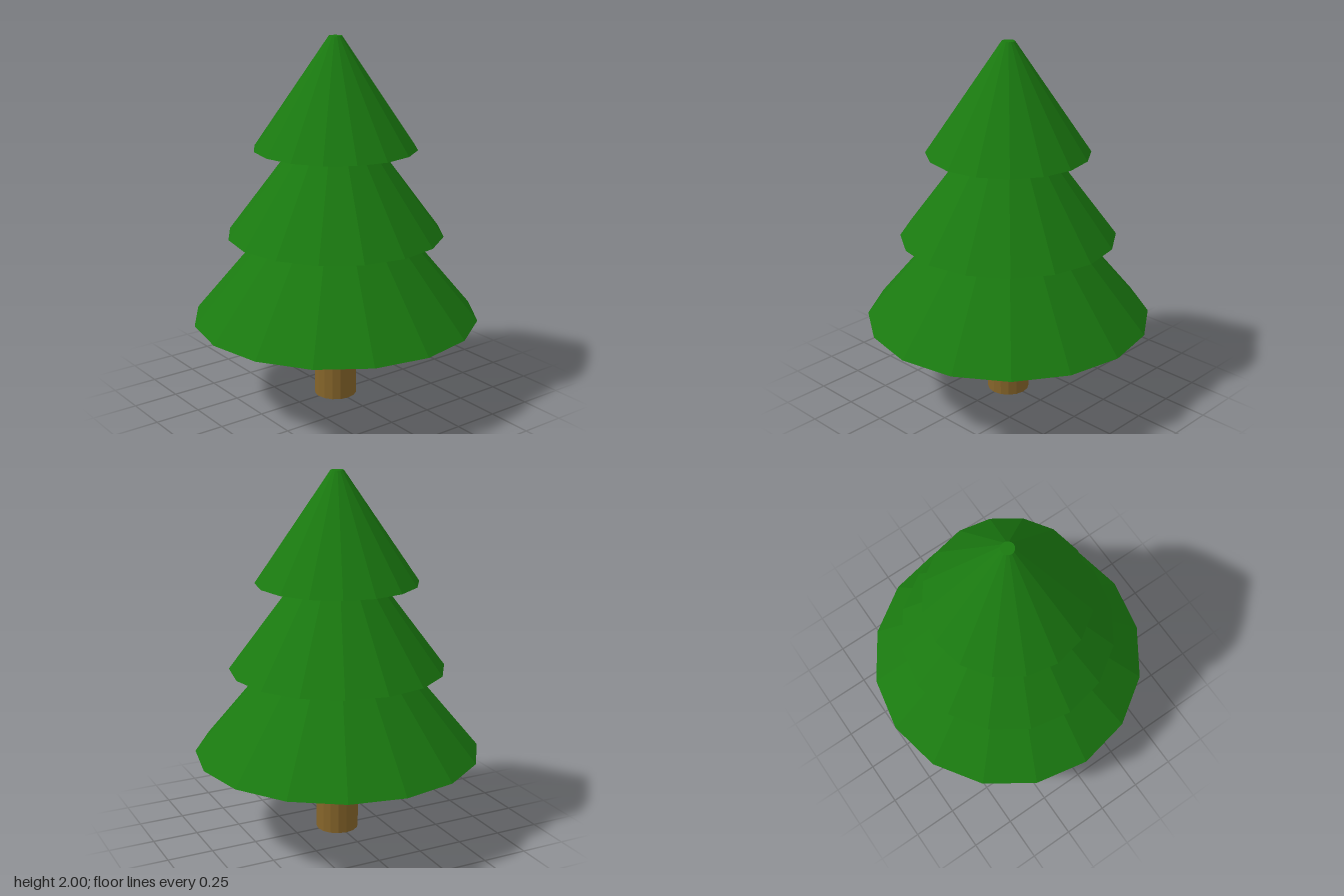
import * as THREE from 'three';

const SIDES = 16;

export function createModel() {
  const tree = new THREE.Group();
  tree.name = 'pineTree';

  const leaves = new THREE.MeshStandardMaterial({ color: 0x1a7a10, flatShading: true });
  const bark = new THREE.MeshStandardMaterial({ color: 0x86652a, flatShading: true, side: THREE.DoubleSide });

  // A tapered 16-sided section standing on height y
  const addSection = (name, rTop, rBottom, y, height, material, open = false) => {
    const geometry = new THREE.CylinderGeometry(rTop, rBottom, height, SIDES, 1, open);
    geometry.translate(0, y + height / 2, 0);
    const mesh = new THREE.Mesh(geometry, material);
    mesh.name = name;
    tree.add(mesh);
  };

  // Hollow trunk, open at the foot
  addSection('trunk', 0.117, 0.117, 0, 0.467, bark, true);

  // Three foliage tiers, each sitting on the one below
  addSection('lowerFoliage', 0.391, 0.783, 0.467, 0.47, leaves);
  addSection('middleFoliage', 0.235, 0.587, 0.937, 0.47, leaves);
  addSection('upperFoliage', 0.035, 0.44, 1.407, 0.593, leaves);

  return tree;
}
